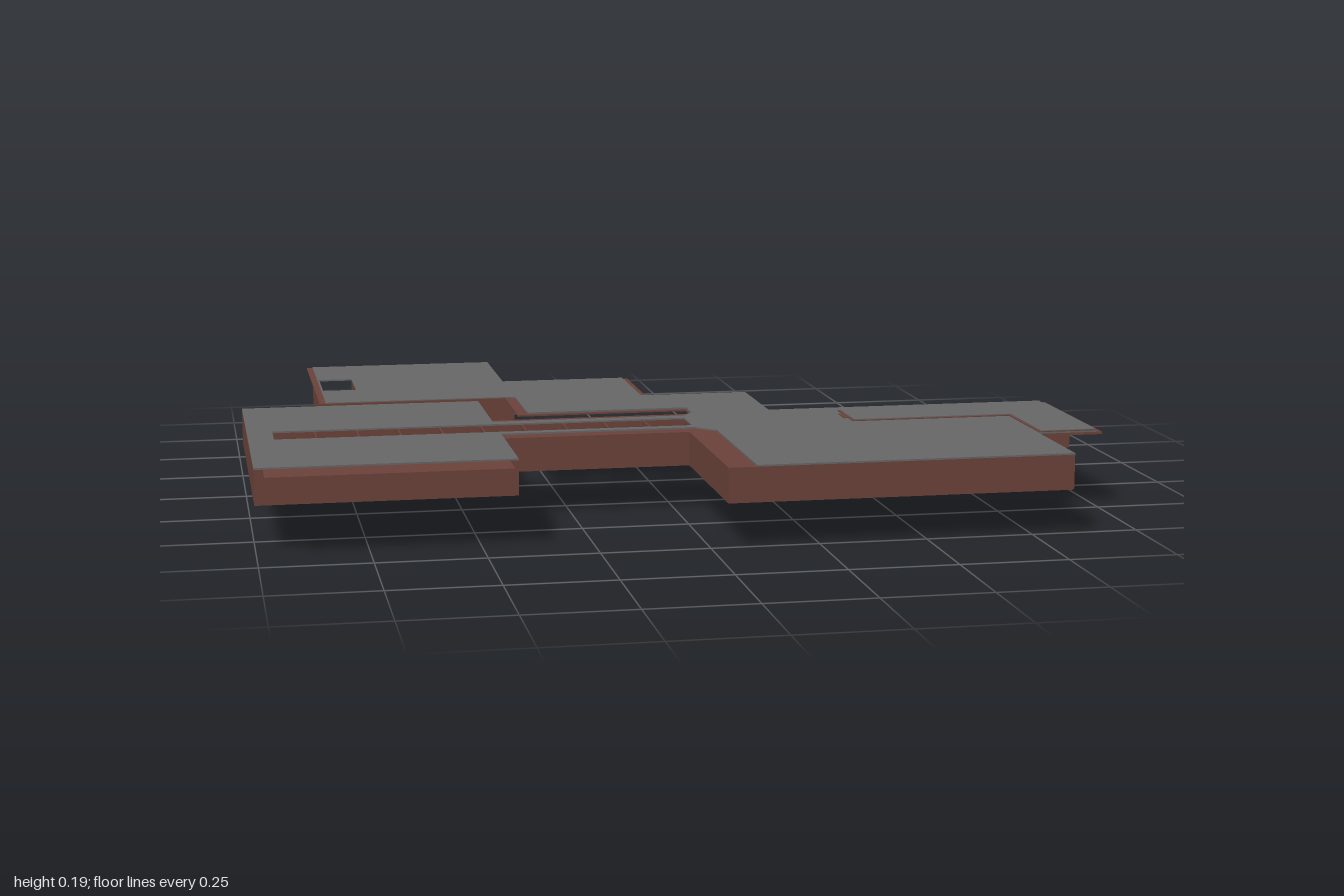
import * as THREE from 'three';

const grey = new THREE.MeshStandardMaterial({ color: 0x686868, side: THREE.DoubleSide });
grey.name = 'roof grey';
const brown = new THREE.MeshStandardMaterial({ color: 0x6c433a, side: THREE.DoubleSide });
brown.name = 'wall brown';

const rect = (x0, z0, x1, z1) => [[x0, z0], [x1, z0], [x1, z1], [x0, z1]];
const toVectors = (pts) => pts.map(([x, z]) => new THREE.Vector2(x, z));

export function createModel() {
  const model = new THREE.Group();

  const add = (name, geometry, material) => {
    const mesh = new THREE.Mesh(geometry, material);
    mesh.name = name;
    model.add(mesh);
    return mesh;
  };
  // Horizontal slab from a plan outline in (x, z)
  const slab = (name, outline, y0, y1, material, holes = []) => {
    const shape = new THREE.Shape(toVectors(outline));
    holes.forEach((h) => shape.holes.push(new THREE.Path(toVectors(h))));
    const g = new THREE.ExtrudeGeometry(shape, { depth: y1 - y0, bevelEnabled: false });
    g.rotateX(Math.PI / 2).translate(0, y1, 0);
    return add(name, g, material);
  };
  const box = (name, x0, x1, y0, y1, z0, z1, material) => {
    const g = new THREE.BoxGeometry(x1 - x0, y1 - y0, z1 - z0);
    g.translate((x0 + x1) / 2, (y0 + y1) / 2, (z0 + z1) / 2);
    return add(name, g, material);
  };

  // Main storey: west block, connecting corridor and east block
  const trough = rect(-0.94, 0.17, 0.055, 0.27);
  const plan = [
    [-1, -0.155], [-0.41, -0.155], [-0.41, 0.1], [1, 0.1], [1, 0.29], [0.84, 0.29],
    [0.84, 0.77], [0.035, 0.77], [0.035, 0.335], [-0.41, 0.335], [-0.41, 0.6], [-1, 0.6],
  ];
  slab('mainWalls', plan, 0.107, 0.186, brown, [trough]);
  slab('mainFloor', plan, 0.105, 0.107, brown);

  // Cross pieces in the long skylight
  for (let i = 1; i < 10; i++) {
    const x = -0.94 + i * 0.0995;
    box('skylightBar', x - 0.002, x + 0.002, 0.107, 0.186, 0.17, 0.27, brown);
  }

  // Ledges and thin walkway plates under the roof
  box('frontLedge', -0.98, -0.43, 0.18, 0.186, 0.6, 0.69, brown);
  box('eastOverhang', 0.84, 1, 0.18, 0.186, 0.29, 0.512, brown);
  slab('walkwayPlate', [
    [-0.31, -0.445], [0.025, -0.445], [0.025, -0.165], [0.285, -0.165], [0.285, 0.1],
    [0.085, 0.1], [0.085, 0.04], [-0.335, 0.04], [-0.335, -0.195], [-0.31, -0.195],
  ], 0.182, 0.186, brown);

  // Roof covering everything, open over the skylight and the stair hatch
  const hatch = rect(-0.785, -0.55, -0.7, -0.38);
  slab('roof', [
    [-0.79, -0.765], [-0.31, -0.765], [-0.31, -0.44], [0.01, -0.44], [0.01, -0.163],
    [0.283, -0.163], [0.283, 0.1], [0.985, 0.1], [0.985, 0.512], [0.84, 0.512],
    [0.84, 0.77], [0.1, 0.77], [0.1, 0.335], [0.06, 0.295], [-0.41, 0.295],
    [-0.41, 0.6], [-1, 0.6], [-1, -0.155], [-0.41, -0.155], [-0.41, 0.138],
    [0.06, 0.138], [0.088, 0.1], [0.088, 0.03], [-0.31, 0.03], [-0.31, -0.2], [-0.79, -0.2],
  ], 0.186, 0.19, grey, [trough, hatch]);

  // Raised L-shaped cover with a narrow brown edge
  slab('coverEdge', [[0.447, 0.147], [0.985, 0.147], [0.985, 0.512], [0.842, 0.512],
    [0.842, 0.292], [0.447, 0.292]], 0.19, 0.192, brown);
  slab('cover', [[0.452, 0.152], [0.983, 0.152], [0.983, 0.512], [0.848, 0.512],
    [0.848, 0.286], [0.452, 0.286]], 0.192, 0.194, grey);
  box('coverTab', 0.437, 0.447, 0.19, 0.192, 0.195, 0.25, brown);

  // Tall rear room, open at the back
  box('roomFloor', -0.79, -0.31, 0, 0.003, -0.76, -0.213, brown);
  box('roomFrontWall', -0.79, -0.31, 0.003, 0.186, -0.216, -0.213, brown);
  box('roomInnerWall', -0.313, -0.31, 0.003, 0.186, -0.76, -0.216, brown);

  // Outer side wall, cut away above the ramp
  const side = new THREE.Shape(toVectors([
    [-0.76, 0.003], [-0.216, 0.003], [-0.216, 0.186], [-0.38, 0.186],
    [-0.55, 0.09], [-0.55, 0.186], [-0.76, 0.186],
  ]));
  const sideGeometry = new THREE.ExtrudeGeometry(side, { depth: 0.003, bevelEnabled: false });
  sideGeometry.rotateY(-Math.PI / 2).translate(-0.787, 0, 0);
  add('roomOuterWall', sideGeometry, brown);

  // Ramp rising towards the front beneath the hatch, with a shaft wall beside it
  const ramp = box('ramp', -0.0425, 0.0425, -0.002, 0.002, -0.098, 0.098, grey);
  ramp.position.set(-0.7425, 0.138, -0.465);
  ramp.rotation.x = -Math.atan2(0.096, 0.17);
  const shaft = new THREE.ShapeGeometry(new THREE.Shape(toVectors([
    [-0.55, 0.09], [-0.38, 0.186], [-0.55, 0.186],
  ])));
  shaft.rotateY(-Math.PI / 2).translate(-0.7, 0, 0);
  add('shaftWall', shaft, brown);

  // Brown eaves around the rear room's roof
  box('rearEave', -0.785, -0.31, 0.184, 0.188, -0.775, -0.765, brown);
  box('sideEave', -0.805, -0.79, 0.184, 0.188, -0.765, -0.385, brown);
  box('sideEaveFront', -0.805, -0.79, 0.184, 0.188, -0.385, -0.2, brown);
  box('frontEave', -0.805, -0.335, 0.184, 0.188, -0.213, -0.195, brown);

  return model;
}
